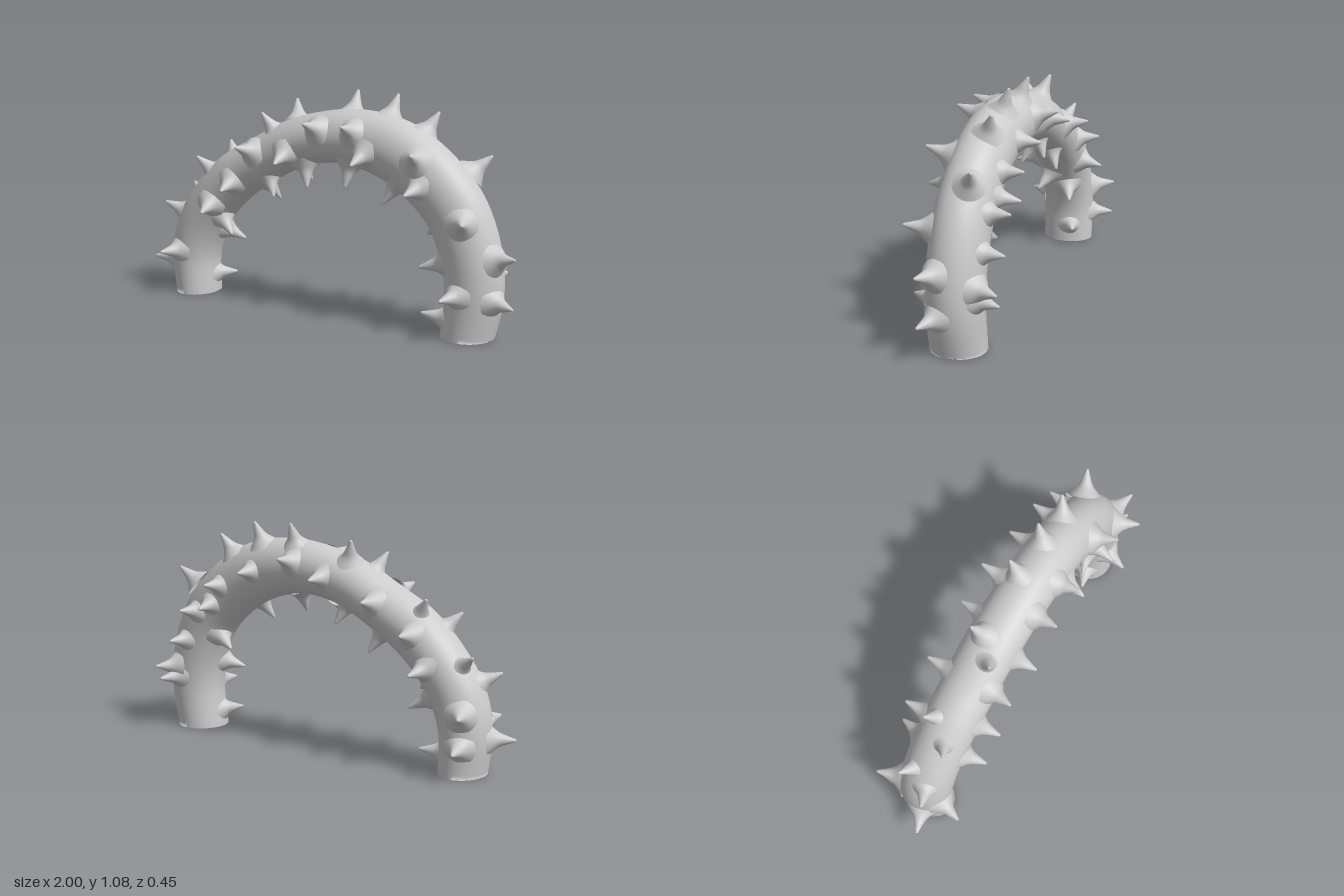
import * as THREE from 'three';
import { ParametricGeometry } from 'three/addons/geometries/ParametricGeometry.js';

// Centre line of the arch: x, y, and in-plane half thickness in the third slot
const SPINE = [
  [-0.78, 0, 0.107], [-0.789, 0.198, 0.12], [-0.746, 0.353, 0.127], [-0.655, 0.492, 0.124],
  [-0.524, 0.618, 0.125], [-0.356, 0.719, 0.117], [-0.19, 0.805, 0.118], [-0.005, 0.853, 0.122],
  [0.16, 0.861, 0.134], [0.356, 0.82, 0.148], [0.524, 0.722, 0.15], [0.668, 0.572, 0.147],
  [0.746, 0.382, 0.143], [0.767, 0.214, 0.136], [0.738, 0, 0.123],
];
const DEPTH = 0.129; // half thickness along z

// Thorn tips, by the side of the stem they grow from
const OUTER_TIPS = [
  [-1, 0.165, 0.08], [-0.925, 0.46, 0.08], [-0.86, 0.545, -0.08], [-0.72, 0.71, 0.08],
  [-0.625, 0.78, -0.08], [-0.325, 0.955, 0.08], [-0.225, 1.015, -0.08], [0.11, 1.075, -0.09],
  [0.33, 1.07, -0.08], [0.54, 1.0, -0.08], [0.8, 0.82, -0.09], [0.995, 0.405, 0.085], [0.99, 0.18, 0.085],
];
const INNER_TIPS = [
  [-0.595, 0.1, -0.08], [-0.54, 0.28, -0.08], [-0.51, 0.335, 0.08], [-0.325, 0.51, -0.08],
  [-0.26, 0.55, 0.08], [-0.14, 0.62, -0.08], [-0.07, 0.615, 0.08], [0.135, 0.635, 0.08],
  [0.335, 0.58, 0.08], [0.485, 0.43, -0.08], [0.525, 0.31, 0.08], [0.54, 0.1, 0.08],
];
const FRONT_TIPS = [
  [-0.85, 0.23], [-0.59, 0.46], [-0.47, 0.58], [-0.38, 0.8], [-0.16, 0.74], [0, 0.94],
  [0.2, 0.94], [0.25, 0.77], [0.55, 0.84], [0.52, 0.66], [0.8, 0.56], [0.7, 0.21],
].map(([x, y]) => [x, y, 0.225]);
const BACK_TIPS = [
  [-0.87, 0.3], [-0.845, 0.14], [-0.62, 0.46], [-0.575, 0.63], [-0.375, 0.76], [-0.09, 0.835],
  [0.085, 0.92], [0.32, 0.835], [0.53, 0.76], [0.565, 0.64], [0.69, 0.62], [0.76, 0.46],
  [0.83, 0.26], [0.86, 0.32],
].map(([x, y]) => [x, y, -0.225]);

export function createModel() {
  const group = new THREE.Group();
  group.name = 'thornyArch';
  const material = new THREE.MeshStandardMaterial({ color: 0xcccccc, side: THREE.DoubleSide });
  const spine = new THREE.CatmullRomCurve3(SPINE.map((p) => new THREE.Vector3(...p)));

  // Stem: an open tube of oval section swept along the spine, cut level at both feet
  const stemPoint = (u, v, target) => {
    const t = THREE.MathUtils.clamp(u, 0, 1);
    const p = spine.getPoint(t);
    const d = spine.getTangent(t);
    const level = t === 0 || t === 1;
    const normal = new THREE.Vector2(d.y, level ? 0 : -d.x).normalize();
    const a = v * Math.PI * 2;
    const r = p.z * Math.cos(a);
    target.set(p.x + normal.x * r, Math.max(0, p.y + normal.y * r), DEPTH * Math.sin(a));
  };
  const stem = new THREE.Mesh(new ParametricGeometry(stemPoint, 120, 40), material);
  stem.name = 'stem';
  group.add(stem);

  // Thorn: flared foot, concave flank, slightly blunt tip at the origin
  const profile = [
    [0.075, -0.125], [0.047, -0.095], [0.032, -0.074], [0.021, -0.045],
    [0.012, -0.02], [0.006, -0.003], [0, 0],
  ].map(([r, h]) => new THREE.Vector2(r, h));
  const flank = new THREE.SplineCurve(profile).getPoints(16);
  flank.forEach((p) => { p.x = Math.max(0, p.x); });
  const thornGeometry = new THREE.LatheGeometry(flank, 20);

  // Each thorn points straight away from the nearest point of the spine
  const centres = spine.getPoints(400).map((p) => p.setZ(0));
  const up = new THREE.Vector3(0, 1, 0);
  const addThorns = (name, tips) => {
    const row = new THREE.Group();
    row.name = name;
    for (const tip of tips) {
      const thorn = new THREE.Mesh(thornGeometry, material);
      thorn.name = 'thorn';
      thorn.position.set(...tip);
      const root = centres.reduce((best, c) =>
        c.distanceToSquared(thorn.position) < best.distanceToSquared(thorn.position) ? c : best);
      const direction = thorn.position.clone().sub(root).normalize();
      thorn.quaternion.setFromUnitVectors(up, direction);
      row.add(thorn);
    }
    group.add(row);
  };
  addThorns('outerThorns', OUTER_TIPS);
  addThorns('innerThorns', INNER_TIPS);
  addThorns('frontThorns', FRONT_TIPS);
  addThorns('backThorns', BACK_TIPS);

  return group;
}
